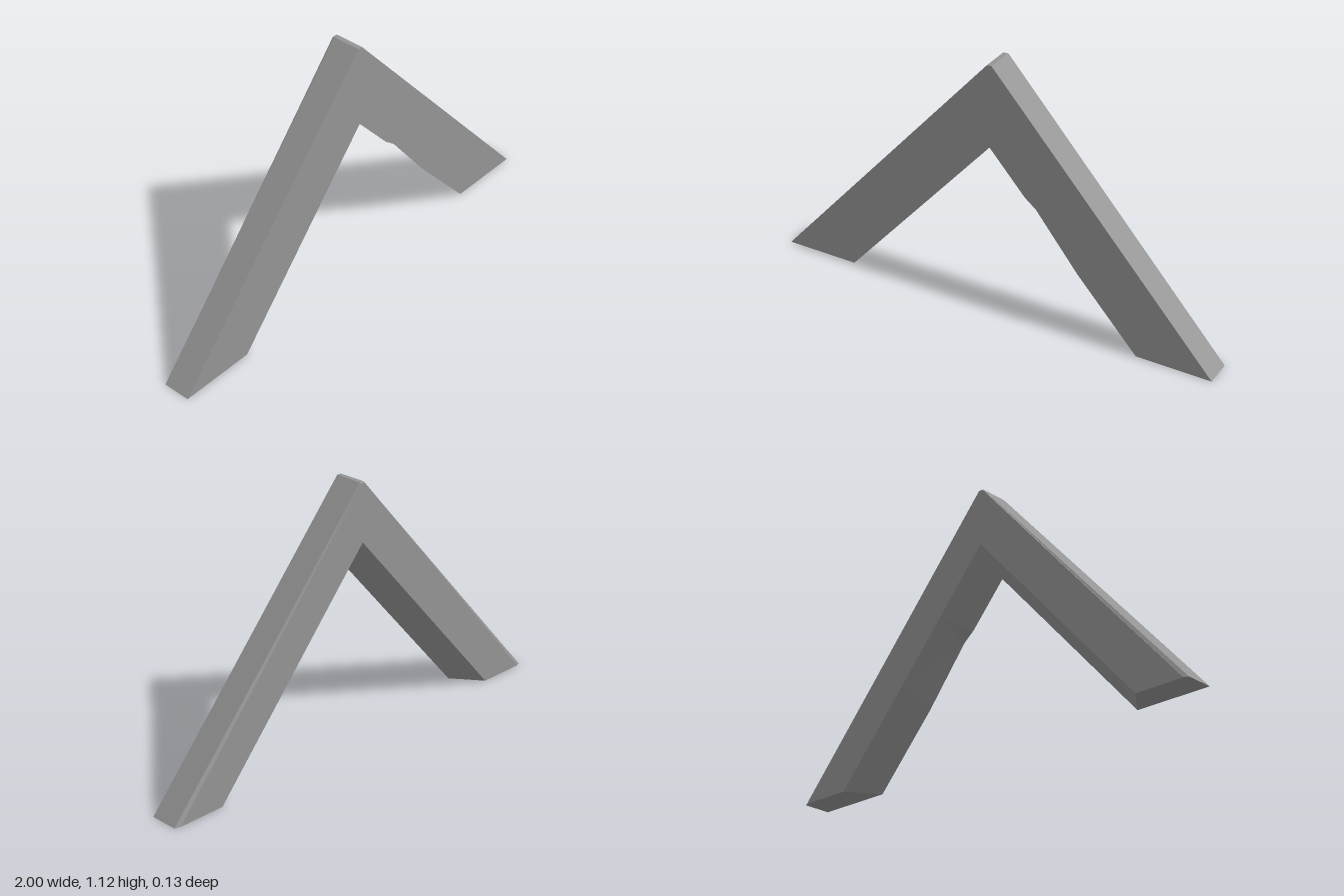
import * as THREE from 'three';

// Outlines run counter-clockwise seen from the front, one per depth.
const FRONT = [
  [-1, 0], [-0.67, 0], [0, 0.76], [0.16, 0.58], [0.21, 0.54],
  [0.4, 0.3], [0.67, 0], [1, 0], [0.01, 1.12], [-0.01, 1.12],
];
const BACK = [
  [-0.98, 0], [-0.765, 0], [0, 0.87], [0.17, 0.677], [0.22, 0.62],
  [0.42, 0.392], [0.765, 0], [0.975, 0], [0.01, 1.117], [-0.01, 1.117],
];
const OUTER = [0, 7, 8, 9];

// Joins outlines from front to back and caps both ends.
function loft(sections) {
  const positions = [];
  const put = (s, i) => positions.push(s.outline[i][0], s.outline[i][1], s.z);
  const n = sections[0].outline.length;
  for (let k = 0; k < sections.length - 1; k++) {
    const a = sections[k], b = sections[k + 1];
    for (let i = 0; i < n; i++) {
      const j = (i + 1) % n;
      put(a, i); put(b, i); put(b, j);
      put(a, i); put(b, j); put(a, j);
    }
  }
  const cap = (s, flip) => {
    const points = s.outline.map(([x, y]) => new THREE.Vector2(x, y));
    for (const [a, b, c] of THREE.ShapeUtils.triangulateShape(points, [])) {
      for (const i of flip ? [a, c, b] : [a, b, c]) put(s, i);
    }
  };
  cap(sections[0], false);
  cap(sections[sections.length - 1], true);
  const geometry = new THREE.BufferGeometry();
  geometry.setAttribute('position', new THREE.Float32BufferAttribute(positions, 3));
  geometry.computeVertexNormals();
  return geometry;
}

export function createModel() {
  const group = new THREE.Group();
  group.name = 'chevron';
  const zFront = 0.065, zBevel = -0.057, zBack = -0.065;

  // Inner faces slope towards the back; outer faces stay square up to a bevel
  // that fades out towards the peak.
  const t = (zFront - zBevel) / (zFront - zBack);
  const bevel = FRONT.map((p, i) => OUTER.includes(i)
    ? p
    : p.map((v, c) => v + (BACK[i][c] - v) * t));

  const beam = new THREE.Mesh(
    loft([
      { outline: FRONT, z: zFront },
      { outline: bevel, z: zBevel },
      { outline: BACK, z: zBack },
    ]),
    new THREE.MeshStandardMaterial({ color: 0x949494, flatShading: true }),
  );
  beam.name = 'angledBeams';
  group.add(beam);
  return group;
}
